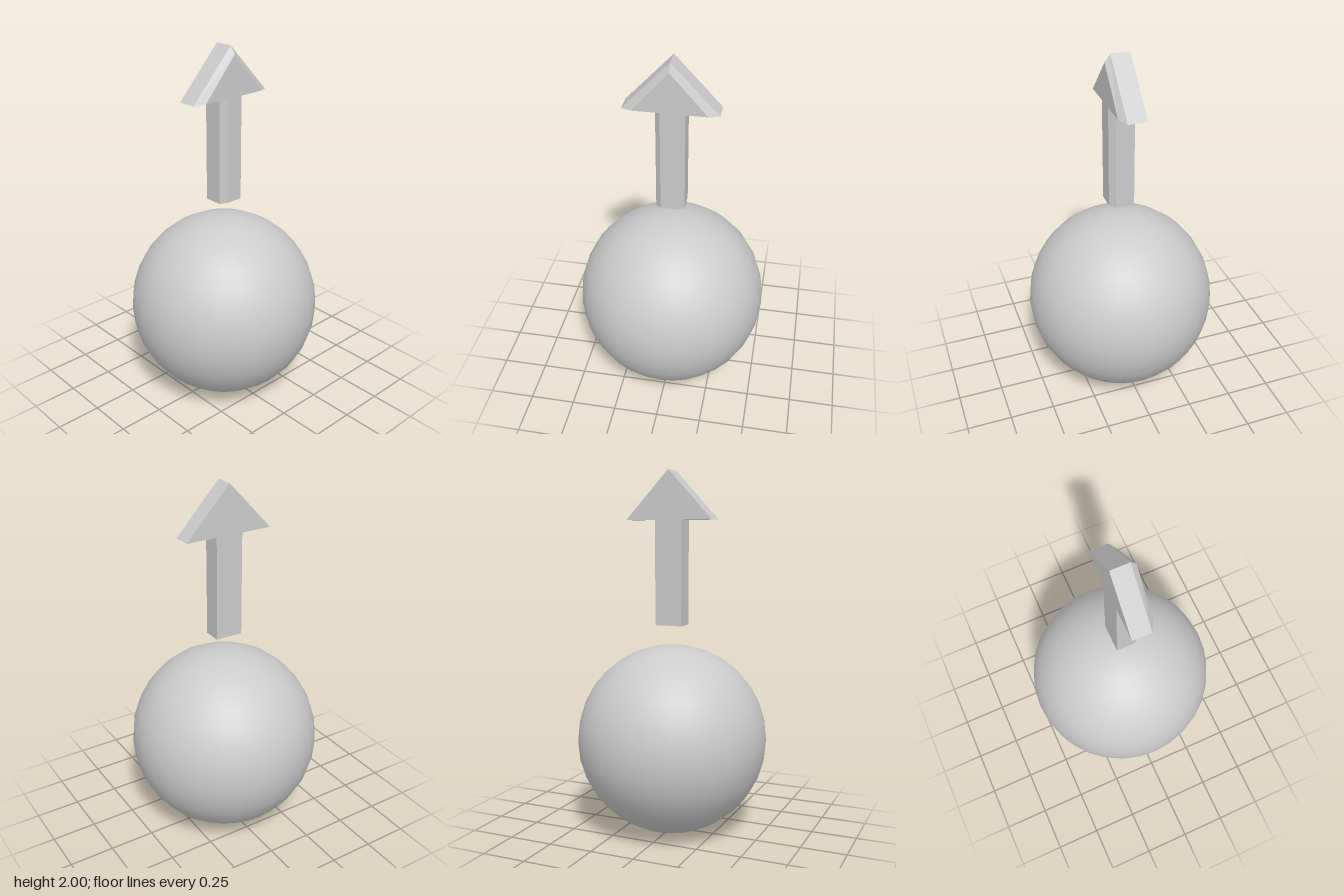
import * as THREE from 'three';

// Mirrors a right-hand half outline (apex first, going down) into a closed loop
const mirrorOutline = (half) => [
  ...half,
  ...half.filter(([x]) => x > 0).reverse().map(([x, y]) => [-x, y]),
];

// Arrow: straight-sided body whose front face is drawn in to a bevel
function createArrowGeometry() {
  const outer = mirrorOutline([[0, 2], [0.25, 1.734], [0.077, 1.734], [0.077, 1.164]]);
  const inner = mirrorOutline([[0, 1.96], [0.195, 1.741], [0.048, 1.741], [0.048, 1.171]]);
  const layers = [-0.053, 0.05, 0.08];

  const shape = new THREE.Shape(outer.map(([x, y]) => new THREE.Vector2(x, y)));
  const geometry = new THREE.ExtrudeGeometry(shape, { depth: 2, steps: 2, bevelEnabled: false });
  const pos = geometry.attributes.position;
  for (let i = 0; i < pos.count; i++) {
    const layer = Math.round(pos.getZ(i));
    const corner = outer.findIndex(
      ([x, y]) => Math.hypot(x - pos.getX(i), y - pos.getY(i)) < 1e-3
    );
    const [x, y] = layer === 2 ? inner[corner] : outer[corner];
    pos.setXYZ(i, x, y, layers[layer]);
  }
  geometry.computeVertexNormals();
  return geometry;
}

export function createModel() {
  const model = new THREE.Group();
  model.name = 'ballWithArrow';
  const grey = new THREE.MeshStandardMaterial({ color: 0xcccccc });

  // Smooth ball at the base
  const radius = 0.526;
  const ball = new THREE.Mesh(new THREE.SphereGeometry(radius, 32, 16), grey);
  ball.name = 'ball';
  ball.position.y = radius;
  model.add(ball);

  // Upward arrow floating above the ball
  const arrow = new THREE.Mesh(createArrowGeometry(), grey);
  arrow.name = 'arrow';
  model.add(arrow);

  return model;
}
